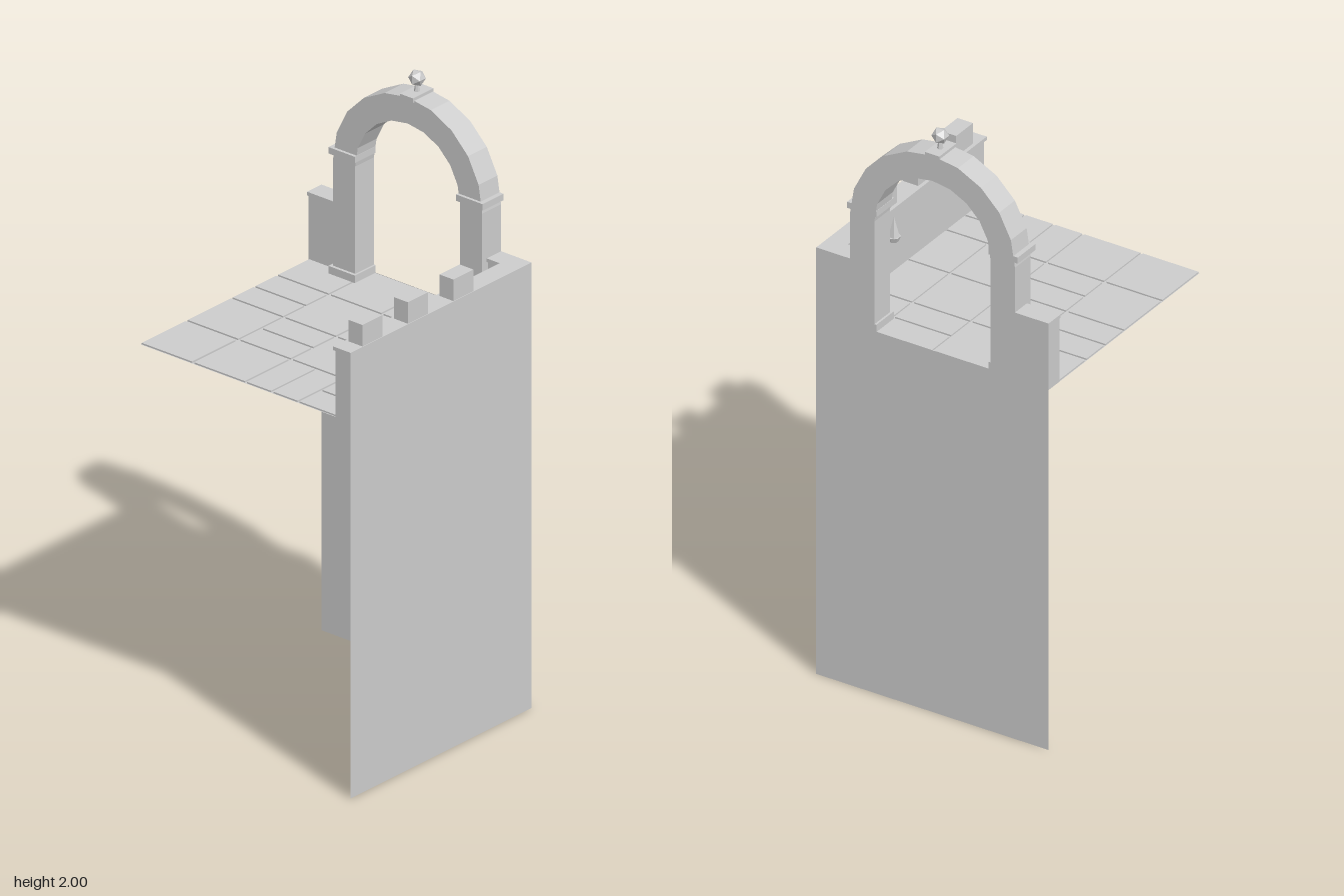
import * as THREE from 'three';

export function createModel() {
  const root = new THREE.Group();
  root.name = 'castleBalcony';
  const stone = new THREE.MeshStandardMaterial({ color: 0xcccccc, flatShading: true, side: THREE.DoubleSide });
  stone.name = 'stoneGrey';

  const add = (name, geo, x = 0, y = 0, z = 0, parent = root) => {
    const mesh = new THREE.Mesh(geo, stone);
    mesh.name = name;
    mesh.position.set(x, y, z);
    parent.add(mesh);
    return mesh;
  };
  // Box given by its limits on each axis
  const block = (name, x0, x1, y0, y1, z0, z1, parent = root) =>
    add(name, new THREE.BoxGeometry(x1 - x0, y1 - y0, z1 - z0),
      (x0 + x1) / 2, (y0 + y1) / 2, (z0 + z1) / 2, parent);

  const E = 0.414;        // half width of the square plan
  const FLOOR = 1.25;
  const TOP = 1.475;

  // Thin outer walls below the floor
  add('backWallFace', new THREE.PlaneGeometry(2 * E, FLOOR), 0, FLOOR / 2, -E).rotation.y = Math.PI;
  add('sideWallFace', new THREE.PlaneGeometry(2 * E, FLOOR), E, FLOOR / 2, 0).rotation.y = Math.PI / 2;

  // Floor bed with slightly raised paving slabs
  add('floorBed', new THREE.PlaneGeometry(2 * E, 2 * E), 0, FLOOR - 0.005, 0).rotation.x = -Math.PI / 2;
  const paving = new THREE.Group();
  paving.name = 'paving';
  root.add(paving);
  const columns = [
    { x: [-0.412, -0.213], rows: [[-0.41, -0.213], [-0.203, -0.109], [-0.1, -0.005], [0.003, 0.201], [0.212, 0.411]] },
    { x: [-0.204, -0.005], rows: [[-0.412, -0.213], [-0.203, -0.005], [0.003, 0.098], [0.108, 0.201], [0.212, 0.411]] },
    { x: [0.003, 0.203], rows: [[-0.412, -0.317], [-0.307, -0.213], [-0.203, -0.005], [0.003, 0.201]] },
    { x: [0.003, 0.098], rows: [[0.212, 0.411]] },
    { x: [0.108, 0.203], rows: [[0.212, 0.411]] },
    { x: [0.21, 0.36], rows: [[-0.41, -0.213], [-0.203, -0.005], [0.003, 0.201], [0.212, 0.306], [0.315, 0.411]] },
  ];
  for (const { x, rows } of columns)
    for (const [z0, z1] of rows) block('slab', x[0], x[1], FLOOR - 0.005, FLOOR, z0, z1, paving);

  // Side parapet with coping and merlons
  block('sideParapet', 0.355, E, FLOOR - 0.005, TOP - 0.012, -E, E);
  block('sideCoping', 0.345, E, TOP - 0.012, TOP, -E, E);
  for (const z of [-0.105, 0.103, 0.311])
    block('merlon', 0.357, 0.412, TOP, 1.546, z - 0.046, z + 0.046);

  // Back parapet stubs and gateway pillars, mirrored
  const mirrored = (name, s, a, b, ...rest) =>
    block(name, Math.min(s * a, s * b), Math.max(s * a, s * b), ...rest);
  const SPRING = 1.63, OUT = 0.294, IN = 0.207;
  for (const s of [-1, 1]) {
    const end = s < 0 ? E : 0.355;
    mirrored('backParapet', s, OUT, end, FLOOR - 0.005, TOP - 0.012, -E, -0.355);
    mirrored('backCoping', s, OUT, s < 0 ? E : 0.345, TOP - 0.012, TOP, -E, -0.348);
    mirrored('pillar', s, IN, OUT, FLOOR, SPRING, -E, -0.328);
    mirrored('plinth', s, 0.2, 0.304, FLOOR, 1.275, -E, -0.318);
    mirrored('impost', s, 0.2, 0.304, 1.647, 1.668, -E, -0.318);
  }

  // Faceted round arch
  const arch = new THREE.Shape();
  const N = 10;
  for (let i = 0; i <= N; i++) {
    const a = (i / N) * Math.PI;
    arch[i ? 'lineTo' : 'moveTo'](OUT * Math.cos(a), SPRING + OUT * Math.sin(a));
  }
  for (let i = N; i >= 0; i--) {
    const a = (i / N) * Math.PI;
    arch.lineTo(IN * Math.cos(a), SPRING + IN * Math.sin(a));
  }
  add('arch', new THREE.ExtrudeGeometry(arch, { depth: E - 0.328, bevelEnabled: false }), 0, 0, -E);

  // Crown plate and finial
  block('crownPlate', -0.026, 0.026, 1.915, 1.93, -0.416, -0.322);
  add('finialNeck', new THREE.CylinderGeometry(0.006, 0.01, 0.025, 6), 0, 1.94, -0.371);
  add('finialBall', new THREE.IcosahedronGeometry(0.027, 0), 0, 1.973, -0.371);

  // Wall torch: flame, cup and bracket
  const torch = new THREE.Group();
  torch.name = 'torch';
  torch.position.set(0.324, 0, -0.127);
  root.add(torch);
  add('flame', new THREE.ConeGeometry(0.019, 0.07, 5), 0, 1.435, 0, torch);
  add('cup', new THREE.CylinderGeometry(0.022, 0.014, 0.018, 6), 0, 1.394, 0, torch);
  block('bracket', 0, 0.033, 1.386, 1.396, -0.012, 0.012, torch);

  return root;
}
